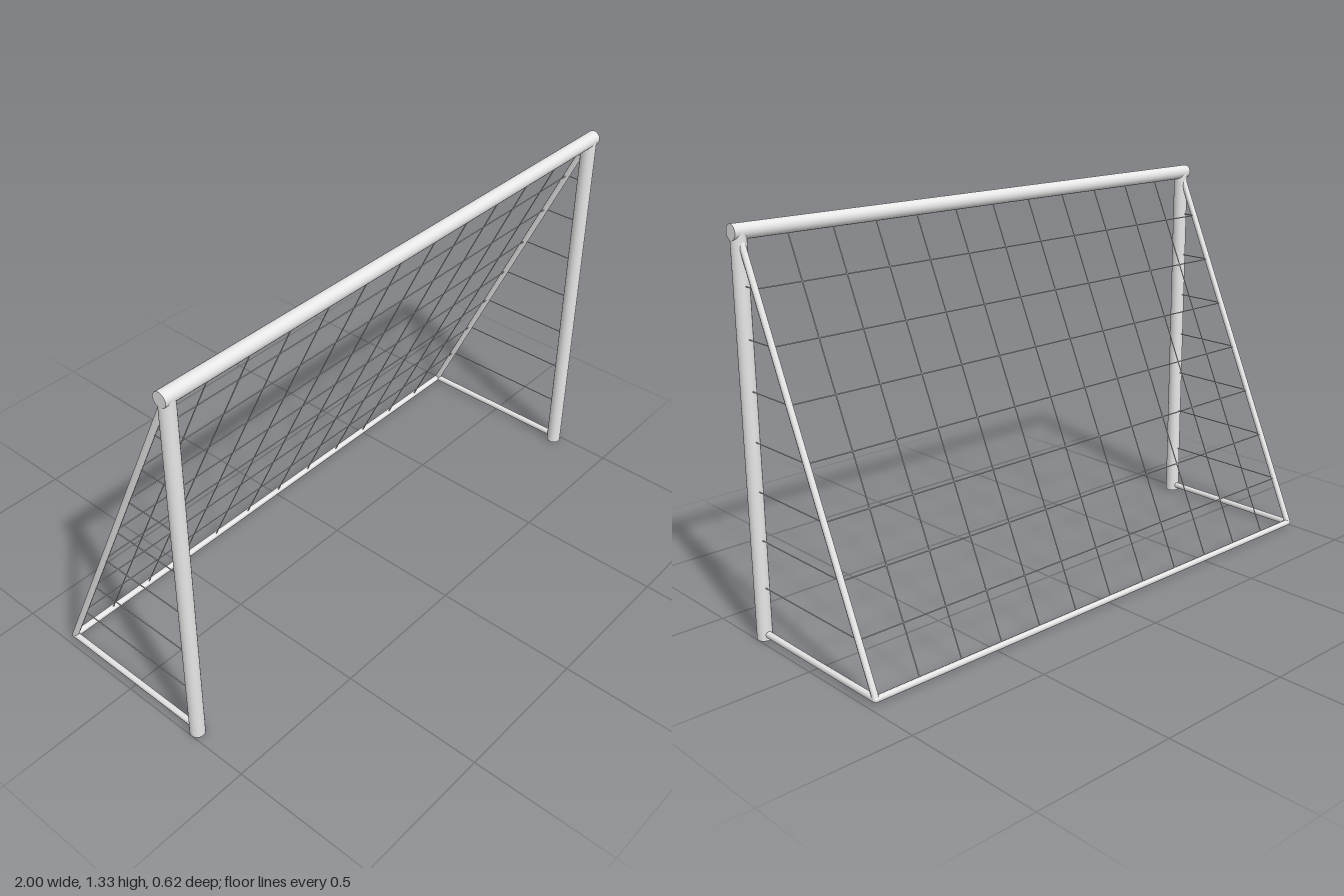
import * as THREE from 'three';

export function createModel() {
  const goal = new THREE.Group();
  goal.name = 'footballGoal';

  const metal = new THREE.MeshStandardMaterial({ color: 0xe6e6e6 });
  metal.name = 'pale painted metal';
  const cord = new THREE.MeshStandardMaterial({ color: 0xdddddd });
  cord.name = 'pale cord';

  const X = 0.975, TOP = 1.3, LOW = 0.02, FRONT = 0.285, BACK = -0.3;
  const POST_R = 0.025, BAR_R = 0.011, CORD_R = 0.002;
  const V = (x, y, z) => new THREE.Vector3(x, y, z);

  // Round bar running between two points
  function bar(name, a, b, radius, material, sides, parent = goal) {
    const dir = b.clone().sub(a);
    const mesh = new THREE.Mesh(
      new THREE.CylinderGeometry(radius, radius, dir.length(), sides), material);
    mesh.position.copy(a).add(b).multiplyScalar(0.5);
    mesh.quaternion.setFromUnitVectors(V(0, 1, 0), dir.normalize());
    mesh.name = name;
    parent.add(mesh);
  }

  // Main front frame
  bar('crossbar', V(-1, TOP, FRONT), V(1, TOP, FRONT), POST_R, metal, 24);

  for (const [side, s] of [['left', 1], ['right', -1]]) {
    const x = s * X;
    bar(side + 'Post', V(x, 0, FRONT), V(x, TOP, FRONT), POST_R, metal, 24);

    // Thin side supports
    bar(side + 'GroundBar', V(x, LOW, FRONT), V(x, LOW, BACK), BAR_R, metal, 8);
    bar(side + 'SlopingBar', V(x, TOP, FRONT), V(x, LOW, BACK), BAR_R, metal, 8);

    // Rounded rear corner
    const joint = new THREE.Mesh(new THREE.SphereGeometry(BAR_R, 16, 10), metal);
    joint.position.set(x, LOW, BACK);
    joint.name = side + 'RearJoint';
    goal.add(joint);
  }
  bar('rearGroundBar', V(-X, LOW, BACK), V(X, LOW, BACK), BAR_R, metal, 8);

  // Net: cords along the slope, across the back and along both sides
  const net = new THREE.Group();
  net.name = 'net';
  goal.add(net);
  const COLUMNS = 12, ROWS = 8;
  for (let i = 1; i < COLUMNS; i++) {
    const x = -X + (2 * X * i) / COLUMNS;
    bar('slopeCord', V(x, LOW, BACK), V(x, TOP, FRONT), CORD_R, cord, 6, net);
  }
  for (let j = 1; j < ROWS; j++) {
    const t = j / ROWS;
    const y = LOW + (TOP - LOW) * t;
    const z = BACK + (FRONT - BACK) * t;
    bar('backCord', V(-X, y, z), V(X, y, z), CORD_R, cord, 6, net);
    for (const x of [-X, X]) {
      bar('sideCord', V(x, y, z), V(x, y, FRONT), CORD_R, cord, 6, net);
    }
  }
  return goal;
}
